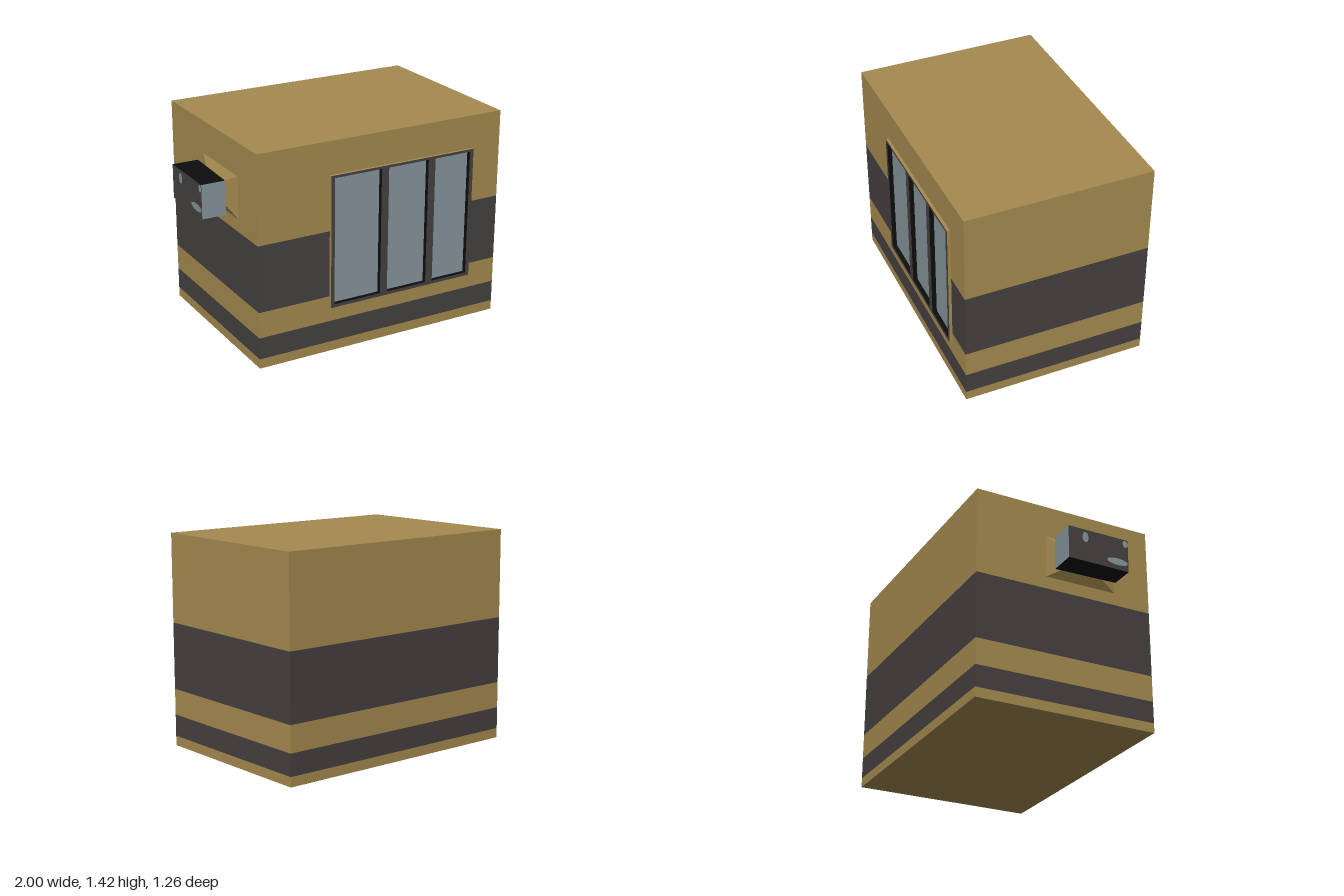
import * as THREE from 'three';

const material = (name, color) => {
  const m = new THREE.MeshStandardMaterial({ color });
  m.name = name;
  return m;
};

// Quads joining two matching rows of points, one material group per quad
function skin(a, b, closed = true) {
  const pos = [];
  const count = closed ? a.length : a.length - 1;
  const geo = new THREE.BufferGeometry();
  for (let i = 0; i < count; i++) {
    const j = (i + 1) % a.length;
    for (const p of [a[i], a[j], b[j], a[i], b[j], b[i]]) pos.push(...p);
    geo.addGroup(i * 6, 6, i);
  }
  geo.setAttribute('position', new THREE.Float32BufferAttribute(pos, 3));
  geo.computeVertexNormals();
  return geo;
}

export function createModel() {
  const model = new THREE.Group();
  model.name = 'building';
  const gold = material('ochre wall', 0xa68b50);
  const dark = material('charcoal', 0x464141);
  const grey = material('blue grey', 0x87969d);
  const black = material('black', 0x0d0d0d);

  const add = (name, geo, mat, parent = model) => {
    const mesh = new THREE.Mesh(geo, mat);
    mesh.name = name;
    parent.add(mesh);
    return mesh;
  };

  // Building extents and window extents
  const L = -0.77, R = 1, F = 0.61, B = -0.63, H = 1.42;
  const wl = -0.27, wr = 0.785, wb = 0.31, wt = 1.2, wz = 0.63, paneZ = 0.6;

  // Striped walls, open at the front where the window sits
  const full = [[L, F], [R, F], [R, B], [L, B]];
  const notched = [[wr, F], [R, F], [R, B], [L, B], [L, F], [wl, F]];
  const bands = [
    [0, 0.065, gold], [0.065, 0.21, dark], [0.21, wb, gold], [wb, 0.385, gold],
    [0.385, 0.83, dark], [0.83, wt, gold], [wt, H, gold],
  ];
  const walls = new THREE.Group();
  walls.name = 'walls';
  model.add(walls);
  for (const [y0, y1, mat] of bands) {
    const open = y0 >= wb && y1 <= wt;
    const path = open ? notched : full;
    const geo = skin(path.map(([x, z]) => [x, y0, z]), path.map(([x, z]) => [x, y1, z]), !open);
    geo.clearGroups();
    add('wallBand', geo, mat, walls);
  }

  // Flat roof and underside
  for (const [name, y, turn] of [['roof', H, -1], ['floor', 0, 1]]) {
    const slab = add(name, new THREE.PlaneGeometry(R - L, F - B), gold);
    slab.rotation.x = turn * Math.PI / 2;
    slab.position.set((L + R) / 2, y, (F + B) / 2);
  }

  // Window: raised frame with three recessed panes
  const win = new THREE.Group();
  win.name = 'window';
  model.add(win);
  const rect = (x0, x1, y0, y1) => [[x0, y0], [x1, y0], [x1, y1], [x0, y1]];
  const at = (pts, z) => pts.map(([x, y]) => [x, y, z]);
  const outer = rect(wl, wr, wb, wt);
  const face = new THREE.Shape(outer.map(p => new THREE.Vector2(...p)));
  const rim = skin(at(outer, F), at(outer, wz));
  rim.clearGroups();
  add('frameRim', rim, gold, win);
  const py0 = 0.332, py1 = 1.183;
  for (const [x0, x1] of [[-0.245, 0.092], [0.145, 0.44], [0.492, 0.758]]) {
    const hole = rect(x0, x1, py0, py1);
    face.holes.push(new THREE.Path(hole.map(p => new THREE.Vector2(...p))));
    const recess = skin(at(hole, wz), at(hole, paneZ));
    recess.clearGroups();
    add('paneRecess', recess, black, win);
    add('pane', new THREE.PlaneGeometry(x1 - x0, py1 - py0), grey, win)
      .position.set((x0 + x1) / 2, (py0 + py1) / 2, paneZ);
  }
  add('frameFace', new THREE.ShapeGeometry(face), dark, win).position.z = wz;

  // Side unit: pyramid bracket, narrow neck and box; xf is x at the front edge
  const unit = new THREE.Group();
  unit.name = 'sideUnit';
  model.add(unit);
  const ring = (xf, xb, y0, y1, z0, z1) =>
    [[xf, y1, z1], [xb, y1, z0], [xb, y0, z0], [xf, y0, z1]];
  const base = ring(L, L, 0.915, 1.2, -0.145, 0.35);
  const neck = ring(-0.815, -0.815, 1.0, 1.12, 0, 0.2);
  const inner = ring(-0.84, -0.825, 0.95, 1.175, -0.11, 0.32);
  const end = ring(-1, -1, 0.95, 1.175, -0.11, 0.32);
  add('bracket', skin(base, neck), [gold, gold, gold, gold], unit);
  add('boxBack', skin(neck, inner), [black, gold, black, gold], unit);
  add('box', skin(inner, end), [black, grey, black, grey], unit);
  const cap = add('boxFace', new THREE.PlaneGeometry(0.43, 0.225), dark, unit);
  cap.rotation.y = -Math.PI / 2;
  cap.position.set(-1, 1.0625, 0.105);

  // Pale spots on the outer face of the box
  for (const [y, z, ry, rz] of [[1.12, 0.01, 0.036, 0.022], [1.005, 0.24, 0.024, 0.075], [1.145, 0.3, 0.025, 0.018]]) {
    const spot = add('boxSpot', new THREE.CircleGeometry(1, 20), grey, unit);
    spot.scale.set(rz, ry, 1);
    spot.rotation.y = -Math.PI / 2;
    spot.position.set(-1.001, y, z);
  }
  return model;
}
